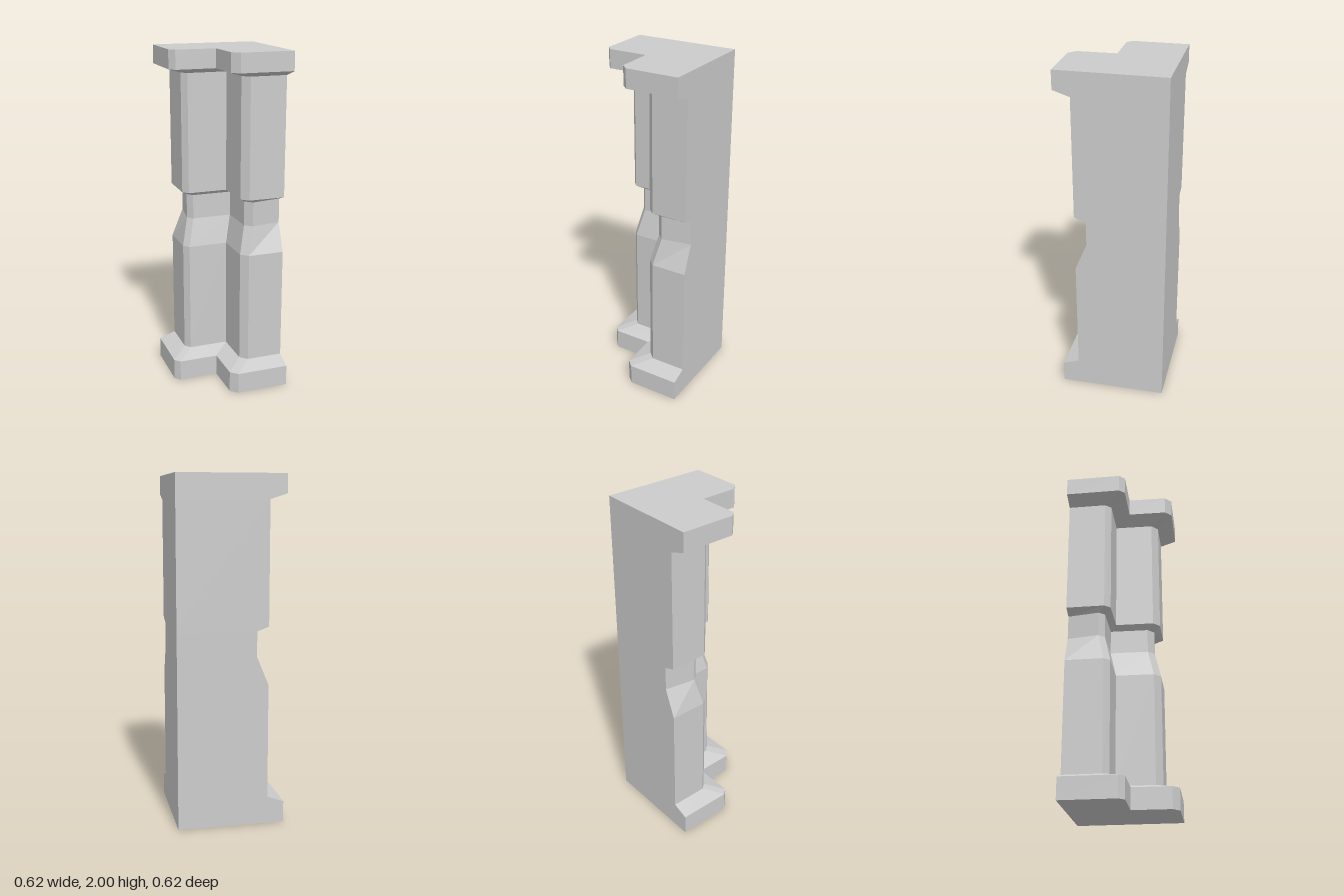
import * as THREE from 'three';

// L-shaped plan, counter-clockwise from above. Each corner: x, z, then how
// it moves in x and z with the recess depth (the two flat walls stay put).
const PLAN = [
  { x: -0.31, z: -0.31, mx: 1, mz: 0, end: true },
  { x: -0.309, z: 0.01, mx: 1, mz: -1 },
  { x: -0.279, z: 0.044, mx: 1, mz: -1 },
  { x: -0.046, z: 0.044, mx: 1, mz: -1 },
  { x: -0.041, z: 0.27, mx: 1, mz: -1 },
  { x: 0, z: 0.309, mx: 1, mz: -1 },
  { x: 0.31, z: 0.31, mx: 0, mz: -1, end: true },
  { x: 0.31, z: -0.31, mx: 0, mz: 0 },
];

// Height, recess depth, and extra depth where the recess meets the flat walls
const LEVELS = [
  [0, 0, 0], [0.125, 0, 0],                 // foot
  [0.16, 0.097, 0], [0.825, 0.097, 0],      // lower shaft
  [0.99, 0.135, 0.03], [1.135, 0.135, 0.03], // waist
  [1.16, 0.097, 0], [1.86, 0.097, 0],       // upper shaft
  [1.892, 0, 0], [2, 0, 0],                 // head
];

function section([y, depth, extra]) {
  return PLAN.map((p) => {
    const d = depth + (p.end ? extra : 0);
    return new THREE.Vector3(p.x + p.mx * d, y, p.z + p.mz * d);
  });
}

function loftGeometry() {
  const rings = LEVELS.map(section);
  const points = [];
  const tri = (a, b, c) => points.push(a, b, c);

  // Walls between neighbouring sections
  for (let r = 0; r < rings.length - 1; r++) {
    const low = rings[r], high = rings[r + 1];
    for (let i = 0; i < PLAN.length; i++) {
      const j = (i + 1) % PLAN.length;
      tri(low[i], low[j], high[j]);
      tri(low[i], high[j], high[i]);
    }
  }

  // Top and bottom faces
  const bottom = rings[0], top = rings[rings.length - 1];
  const outline = top.map((p) => new THREE.Vector2(p.x, -p.z));
  for (const [a, b, c] of THREE.ShapeUtils.triangulateShape(outline, [])) {
    tri(top[a], top[b], top[c]);
    tri(bottom[c], bottom[b], bottom[a]);
  }

  const geometry = new THREE.BufferGeometry().setFromPoints(points);
  geometry.computeVertexNormals();
  return geometry;
}

export function createModel() {
  const group = new THREE.Group();
  group.name = 'cornerPillar';
  const material = new THREE.MeshStandardMaterial({ color: 0xcccccc, flatShading: true });
  const pillar = new THREE.Mesh(loftGeometry(), material);
  pillar.name = 'pillar';
  group.add(pillar);
  return group;
}
